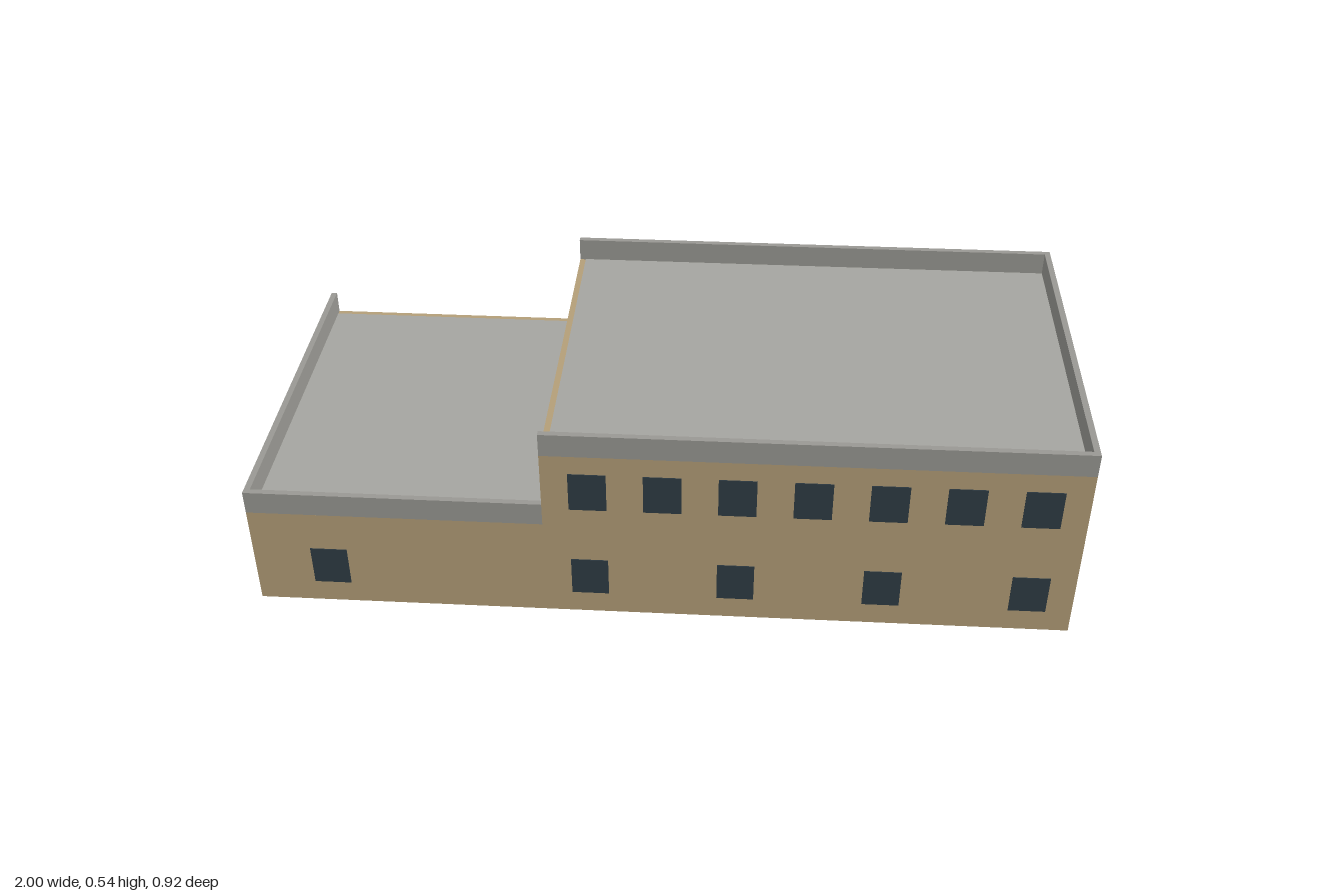
import * as THREE from 'three';

const paint = (color) => new THREE.MeshStandardMaterial({ color });
const TAN = paint(0xb39e78), CONCRETE = paint(0x999893), ROOF = paint(0xa5a5a0);
const GLASS = paint(0x2f3c44), RED = paint(0x8b2222), FRAME = paint(0x34383a);

const X0 = -0.998, XM = -0.28, X1 = 0.998, Z = 0.458, T = 0.015;
const SILL = [0.06, 0.32], WIN_W = 0.09, WIN_H = 0.105, PROUD = 0.002;

export function createModel() {
  const model = new THREE.Group();

  // box given by its extents
  function block(parent, name, mat, x0, x1, y0, y1, z0, z1) {
    const mesh = new THREE.Mesh(new THREE.BoxGeometry(x1 - x0, y1 - y0, z1 - z0), mat);
    mesh.position.set((x0 + x1) / 2, (y0 + y1) / 2, (z0 + z1) / 2);
    mesh.name = name;
    parent.add(mesh);
  }
  function group(name) {
    const g = new THREE.Group();
    g.name = name;
    model.add(g);
    return g;
  }

  // two-storey main block, open underneath
  const main = group('mainBlock'), H = 0.475, P = 0.535;
  block(main, 'frontWall', TAN, XM, X1, 0, H, Z - T, Z);
  block(main, 'backWall', TAN, XM, X1, 0, H, -Z, -Z + T);
  block(main, 'rightWall', TAN, X1 - T, X1, 0, H, -Z + T, Z - T);
  block(main, 'dividingWall', TAN, XM, XM + T, 0, H, -Z + T, Z - T);
  block(main, 'roof', ROOF, XM + T, X1 - T, H - 0.012, H + 0.001, -Z + T, Z - T);
  block(main, 'frontParapet', CONCRETE, XM, X1, H, P, Z - T, Z);
  block(main, 'backParapet', CONCRETE, XM, X1, H, P, -Z, -Z + T);
  block(main, 'rightParapet', CONCRETE, X1 - T, X1, H, P, -Z + T, Z - T);

  // single-storey garage wing
  const wing = group('garageWing'), h = 0.27, p = 0.33;
  block(wing, 'frontWall', TAN, X0, XM, 0, h, Z - T, Z);
  block(wing, 'backWall', TAN, X0, XM, 0, h, -Z, -Z + T);
  block(wing, 'endWall', TAN, X0, X0 + T, 0, h, -Z + T, Z - T);
  block(wing, 'roof', ROOF, X0 + T, XM, h - 0.012, h + 0.001, -Z + T, Z - T);
  block(wing, 'frontParapet', CONCRETE, X0, XM, h, p, Z - T, Z);
  block(wing, 'endParapet', CONCRETE, X0, X0 + T, h, p, -Z, Z - T);

  // windows: thin panes standing just proud of the walls
  const windows = group('windows');
  const facing = (x, floor, side) => {
    const z = side * Z;
    block(windows, side > 0 ? 'frontWindow' : 'backWindow', GLASS, x - WIN_W / 2, x + WIN_W / 2,
      SILL[floor], SILL[floor] + WIN_H, z - PROUD, z + PROUD);
  };
  const sideways = (name, x, z, floor) =>
    block(windows, name, GLASS, x - PROUD, x + PROUD, SILL[floor], SILL[floor] + WIN_H,
      z - WIN_W / 2, z + WIN_W / 2);

  for (let i = 0; i < 7; i++) {
    const x = -0.17 + i * 0.1767;
    facing(x, 1, 1);
    facing(x, 1, -1);
    facing(x, 0, -1);
    if (i % 2 === 0) facing(x, 0, 1);
  }
  facing(-0.81, 0, 1);
  for (let i = -2; i <= 2; i++) {
    const z = i * 0.1775;
    sideways('rightWindow', X1, z, 1);
    sideways('dividingWallWindow', XM, z, 1);
    if (i % 2 === 0) {
      sideways('rightWindow', X1, z, 0);
      sideways('endWindow', X0, z, 0);
      sideways('innerWindow', XM + T, z, 0);
    }
  }

  // back entrance
  block(model, 'entranceDoor', FRAME, 0.285, 0.435, 0, 0.185, -Z - 0.003, -Z);

  // two roller doors in slim dark frames
  for (const x of [-0.455, -0.812]) {
    const garage = group('garageDoor');
    block(garage, 'doorFrame', FRAME, x - 0.133, x + 0.133, 0, 0.264, -Z - 0.002, -Z);
    block(garage, 'doorPanel', RED, x - 0.124, x + 0.124, 0, 0.252, -Z - 0.003, -Z);
  }
  return model;
}
